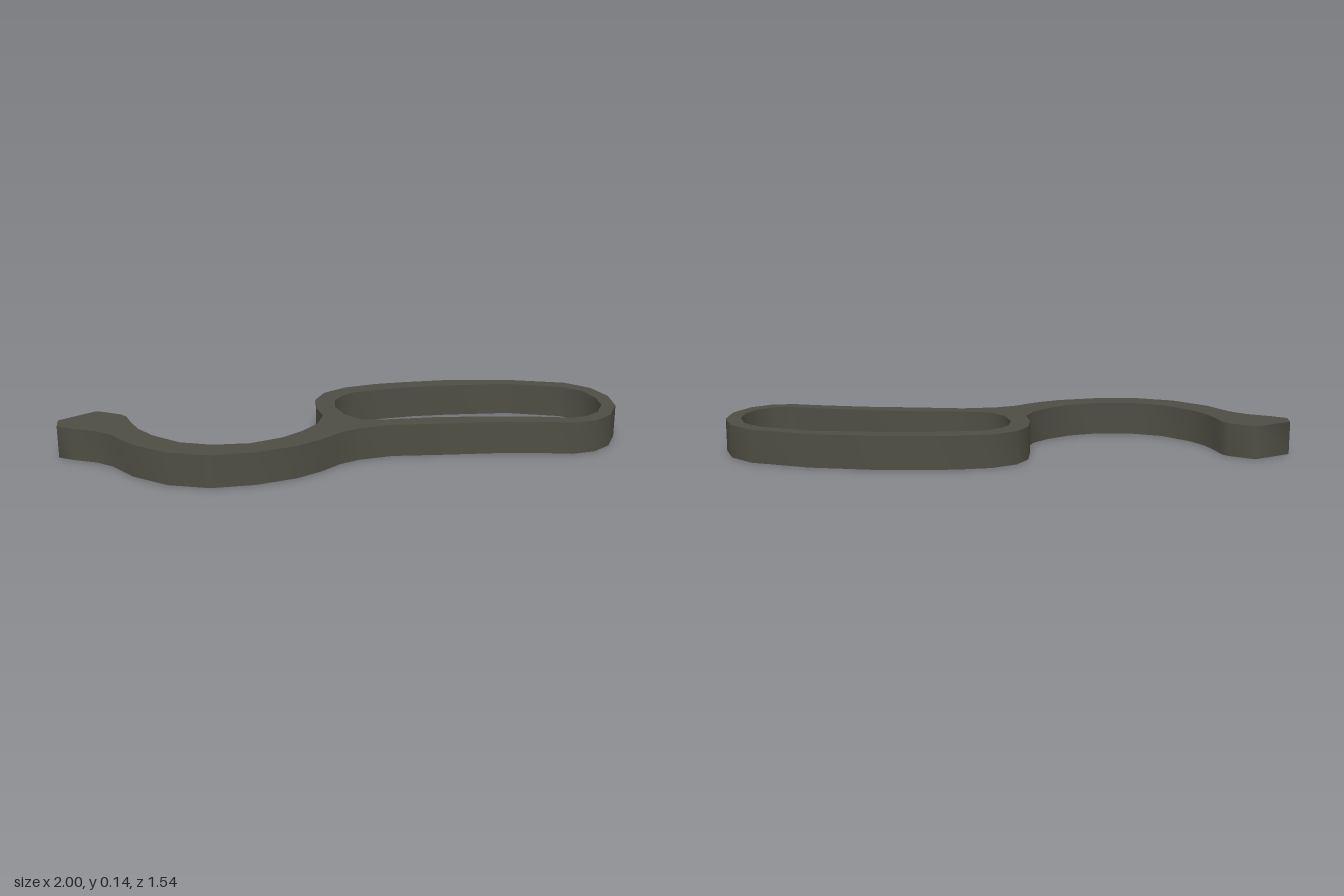
import * as THREE from 'three';
import { toCreasedNormals } from 'three/addons/utils/BufferGeometryUtils.js';

const HEIGHT = 0.14;

// Plan outline as [x, z]: tip, inner side of the hook, loop, outer side of the hook
const hookInner = [
  [-1, -0.715], [-0.96, -0.77], [-0.785, -0.755], [-0.765, -0.73], [-0.725, -0.645], [-0.725, -0.61],
  [-0.75, -0.54], [-0.77, -0.46], [-0.77, -0.36], [-0.735, -0.22], [-0.655, -0.11], [-0.535, -0.02],
  [-0.4, 0.02], [-0.29, 0.02], [-0.19, 0], [-0.11, -0.055],
];
const loopOuter = [
  [-0.07, -0.14], [0, -0.225], [0.085, -0.265], [0.2, -0.255], [0.335, -0.195], [0.44, -0.13],
  [0.6, -0.02], [0.81, 0.17], [0.97, 0.375], [1, 0.5], [0.97, 0.62], [0.895, 0.715], [0.785, 0.77],
  [0.69, 0.77], [0.6, 0.725], [0.53, 0.65], [0.37, 0.5], [0.2, 0.365], [0.03, 0.225],
];
const hookOuter = [
  [-0.1, 0.16], [-0.19, 0.14], [-0.3, 0.145], [-0.42, 0.13], [-0.58, 0.07], [-0.735, -0.03],
  [-0.84, -0.17], [-0.89, -0.335], [-0.89, -0.48], [-0.915, -0.56], [-0.97, -0.65],
];
// Opening inside the loop, wound the other way so its walls face inward
const loopInner = [
  [-0.02, 0.09], [0.06, 0.165], [0.22, 0.28], [0.39, 0.425], [0.54, 0.57], [0.64, 0.68],
  [0.7, 0.71], [0.775, 0.71], [0.855, 0.67], [0.91, 0.6], [0.94, 0.5], [0.915, 0.4],
  [0.77, 0.21], [0.55, 0.035], [0.43, -0.05], [0.31, -0.12], [0.185, -0.18], [0.11, -0.18],
  [0.055, -0.16], [0, -0.1], [-0.035, 0],
];

const toPoints = (list) => list.map(([x, z]) => new THREE.Vector2(x, -z));

export function createModel() {
  const group = new THREE.Group();
  group.name = 'hookWithLoop';

  // One flat plate: curved hook arm with a flared tip, joined to a long open loop
  const shape = new THREE.Shape(toPoints([...hookInner, ...loopOuter, ...hookOuter]));
  shape.holes.push(new THREE.Path(toPoints(loopInner)));
  const plate = new THREE.ExtrudeGeometry(shape, { depth: HEIGHT, bevelEnabled: false });
  plate.rotateX(-Math.PI / 2);

  // Smooth walls with sharp top and bottom rims
  const body = new THREE.Mesh(
    toCreasedNormals(plate, 1.2),
    new THREE.MeshStandardMaterial({ color: 0x4e4e44 }),
  );
  body.name = 'hookAndLoopBody';
  group.add(body);
  return group;
}
